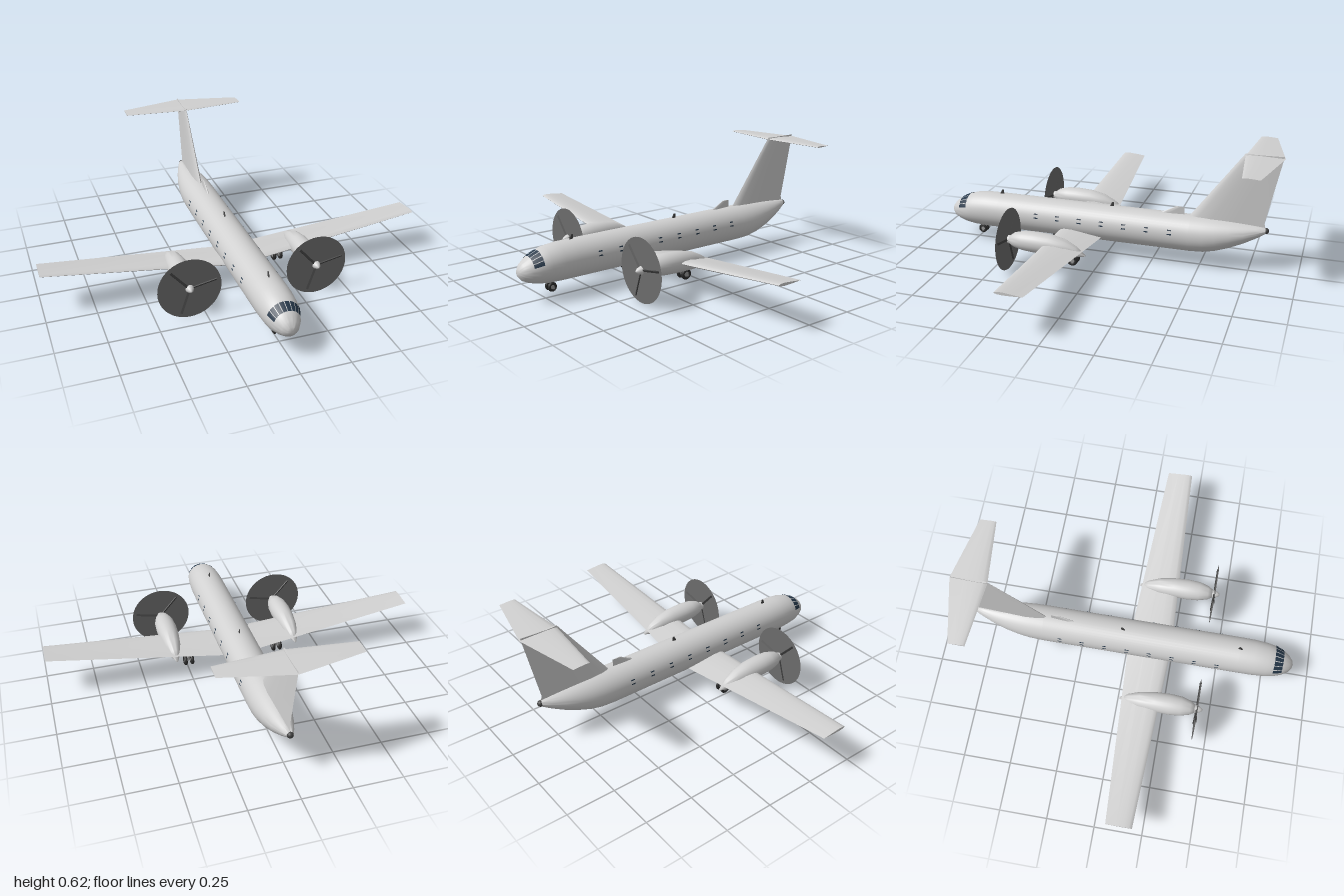
import * as THREE from 'three';
import { toCreasedNormals } from 'three/addons/utils/BufferGeometryUtils.js';

const material = (name, color, side = THREE.FrontSide) => {
  const m = new THREE.MeshStandardMaterial({ color, side });
  m.name = name;
  return m;
};

// Skin a list of cross-section rings; capped at both ends when closed
function loft(rings, closed = true, crease = 0.7) {
  const n = rings[0].length, pos = rings.flat(2), idx = [];
  for (let i = 0; i < rings.length - 1; i++) {
    for (let j = 0; j < (closed ? n : n - 1); j++) {
      const k = (j + 1) % n, a = i * n + j, b = i * n + k;
      idx.push(a, a + n, b, b, a + n, b + n);
    }
  }
  if (closed) {
    const last = (rings.length - 1) * n;
    for (let j = 1; j < n - 1; j++) idx.push(0, j, j + 1, last, last + j + 1, last + j);
  }
  const g = new THREE.BufferGeometry();
  g.setAttribute('position', new THREE.Float32BufferAttribute(pos, 3));
  g.setIndex(idx);
  return toCreasedNormals(g, crease);
}

// Body stations: [z, top, bottom, half width]
const FUSELAGE = [
  [0.895, 0.156, 0.15, 0.003], [0.889, 0.175, 0.133, 0.022], [0.872, 0.198, 0.113, 0.044],
  [0.84, 0.222, 0.098, 0.064], [0.8, 0.243, 0.087, 0.08], [0.75, 0.259, 0.08, 0.089],
  [0.68, 0.267, 0.077, 0.094], [0.6, 0.268, 0.077, 0.095], [-0.45, 0.268, 0.077, 0.095],
  [-0.52, 0.268, 0.081, 0.093], [-0.58, 0.266, 0.094, 0.087], [-0.65, 0.262, 0.119, 0.075],
  [-0.72, 0.256, 0.151, 0.057], [-0.78, 0.25, 0.184, 0.036], [-0.825, 0.244, 0.213, 0.018],
];
const NACELLE = [
  [0.418, 0.178, 0.14, 0.02], [0.39, 0.2, 0.125, 0.037], [0.34, 0.213, 0.115, 0.051],
  [0.28, 0.216, 0.11, 0.055], [0.2, 0.212, 0.107, 0.052], [0.12, 0.195, 0.106, 0.042],
  [0.06, 0.165, 0.111, 0.025], [0.014, 0.128, 0.119, 0.005],
];

function bodyRing([z, top, bottom, half], t0, t1, count, grow = 0) {
  return Array.from({ length: count }, (_, i) => {
    const t = t0 + (t1 - t0) * i / (count - 1);
    return [Math.cos(t) * (half + grow),
      (top + bottom) / 2 + Math.sin(t) * ((top - bottom) / 2 + grow), z];
  });
}
const body = (stations, sides) => loft(
  stations.map(s => bodyRing(s, 0, Math.PI * 2 * (sides - 1) / sides, sides)), true, 1);

// Station of the fuselage at any z
function stationAt(z) {
  const i = Math.max(1, FUSELAGE.findIndex(s => s[0] <= z));
  const a = FUSELAGE[i - 1], b = FUSELAGE[i], f = (z - a[0]) / (b[0] - a[0]);
  return a.map((v, k) => v + (b[k] - v) * f);
}
// Thin plate that follows the fuselage skin
const skinPatch = (z0, z1, t0, t1) => loft(
  [0, 0.5, 1].map(f => bodyRing(stationAt(z0 + (z1 - z0) * f), t0, t1, 5, 0.002)), false);

// Airfoil outline: [chord fraction, thickness fraction]
const upper = [[0.03, 0.22], [0.12, 0.42], [0.3, 0.5], [0.6, 0.32]];
const AIRFOIL = [[0, 0], ...upper, [1, 0], ...upper.map(([u, v]) => [u, -v]).reverse()];

// Wing sections: [x, y, leading z, chord, thickness, incidence rise]
const wing = sections => loft(sections.map(([x, y, le, c, th, rise]) =>
  AIRFOIL.map(([u, v]) => [x, y + v * th + rise * (0.5 - u), le - c * u])));
// Fin sections: [y, leading z, chord, thickness, trailing y offset]
const fin = sections => loft(sections.map(([y, le, c, th, drop = 0]) =>
  AIRFOIL.map(([u, v]) => [-v * th, y - drop * u, le - c * u])));

export function createModel() {
  const paint = material('body paint', 0xd0d0d0);
  const glass = material('window glass', 0x26384a, THREE.DoubleSide);
  const discMat = material('propeller blur', 0x6c6c6c, THREE.DoubleSide);
  const dark = material('dark blade', 0x424242);
  const rubber = material('tyre rubber', 0x2c2c2c);
  const metal = material('gear metal', 0x9a9a9a);

  const model = new THREE.Group();
  model.name = 'airliner';
  const add = (name, geometry, mat, parent = model, x = 0, y = 0, z = 0) => {
    const mesh = new THREE.Mesh(geometry, mat);
    mesh.name = name;
    mesh.position.set(x, y, z);
    parent.add(mesh);
    return mesh;
  };

  add('fuselage', body(FUSELAGE, 40), paint);
  add('tailCap', new THREE.SphereGeometry(0.016, 16, 10), dark, model, 0, 0.229, -0.826);

  // Wing from tip to tip, tailplane and fin
  add('wing', wing([
    [-1, 0.225, 0.198, 0.134, 0.014, 0.004], [0, 0.116, 0.242, 0.234, 0.034, 0.02],
    [1, 0.225, 0.198, 0.134, 0.014, 0.004]]), paint);
  add('tailplane', wing([
    [-0.338, 0.612, -0.735, 0.085, 0.008, 0], [0, 0.612, -0.702, 0.193, 0.014, 0],
    [0.338, 0.612, -0.735, 0.085, 0.008, 0]]), paint);
  add('fin', fin([[0.24, -0.415, 0.408, 0.04], [0.268, -0.44, 0.376, 0.037],
    [0.622, -0.702, 0.188, 0.012]]), paint);

  // Dorsal fairing and small aerials
  add('dorsalFairing', fin([[0.262, -0.28, 0.13, 0.012], [0.307, -0.365, 0.045, 0.006]]), paint);
  for (const z of [0.615, -0.01]) {
    add('topAerial', fin([[0.262, z, 0.026, 0.008], [0.29, z - 0.014, 0.012, 0.005]]), dark);
  }
  add('bellyAerial', fin([[0.06, 0.308, 0.012, 0.005], [0.082, 0.322, 0.026, 0.008]]), dark);

  // Cockpit panes wrapped over the nose
  const panes = 8, first = 0.3, step = (Math.PI - 2 * first) / panes;
  for (let i = 0; i < panes; i++) {
    const t = first + i * step;
    add('cockpitPane', skinPatch(0.836, 0.789, t + 0.025, t + step - 0.025), glass);
  }
  // Cabin windows: an upper and a lower strip each, both sides
  for (let i = 0; i < 8; i++) {
    const z = 0.492 - i * 0.1207;
    for (const t of [0.157, 0.374]) {
      for (const mid of [t, Math.PI - t]) {
        add('cabinWindow', skinPatch(z + 0.011, z - 0.011, mid - 0.032, mid + 0.032), glass);
      }
    }
  }

  // Twin-wheel landing leg
  function landingGear(name, x, y, z, r, gap, top) {
    const gear = new THREE.Group();
    gear.name = name;
    gear.position.set(x, y, z);
    model.add(gear);
    add('strut', new THREE.CylinderGeometry(0.007, 0.007, top - y, 12), metal, gear, 0, (top - y) / 2, 0);
    add('axle', new THREE.CylinderGeometry(0.005, 0.005, gap * 2, 10), metal, gear).rotation.z = Math.PI / 2;
    for (const s of [-1, 1]) {
      const tube = r * 0.3;
      add('tyre', new THREE.TorusGeometry(r - tube, tube, 10, 24), rubber, gear, s * gap).rotation.y = Math.PI / 2;
      add('wheelHub', new THREE.CylinderGeometry(r * 0.55, r * 0.55, tube, 20), metal, gear, s * gap)
        .rotation.z = Math.PI / 2;
    }
  }
  landingGear('noseGear', 0, 0.054, 0.72, 0.024, 0.014, 0.1);

  const nacelleShape = body(NACELLE, 28);
  for (const s of [-1, 1]) {
    const x = s * 0.33;
    landingGear(s > 0 ? 'leftMainGear' : 'rightMainGear', s * 0.25, 0.058, 0.105, 0.029, 0.018, 0.142);
    add('nacelle', nacelleShape, paint, model, x);

    // Propeller: spinner, three blades and a flat blur disc
    const prop = new THREE.Group();
    prop.name = 'propeller';
    prop.position.set(x, 0.16, 0.425);
    model.add(prop);
    add('blurDisc', new THREE.CircleGeometry(0.16, 48), discMat, prop);
    add('spinner', new THREE.LatheGeometry(
      [[0.022, -0.015], [0.021, 0], [0.014, 0.018], [0.006, 0.028], [0, 0.031]]
        .map(p => new THREE.Vector2(...p)), 20), paint, prop).rotation.x = Math.PI / 2;
    for (let i = 0; i < 3; i++) {
      const blade = add('blade', new THREE.BoxGeometry(0.14, 0.013, 0.005).translate(0.07, 0, 0), dark, prop);
      blade.rotation.set(0.5, 0, 0.2 + i * Math.PI * 2 / 3, 'ZYX');
    }
  }
  return model;
}
